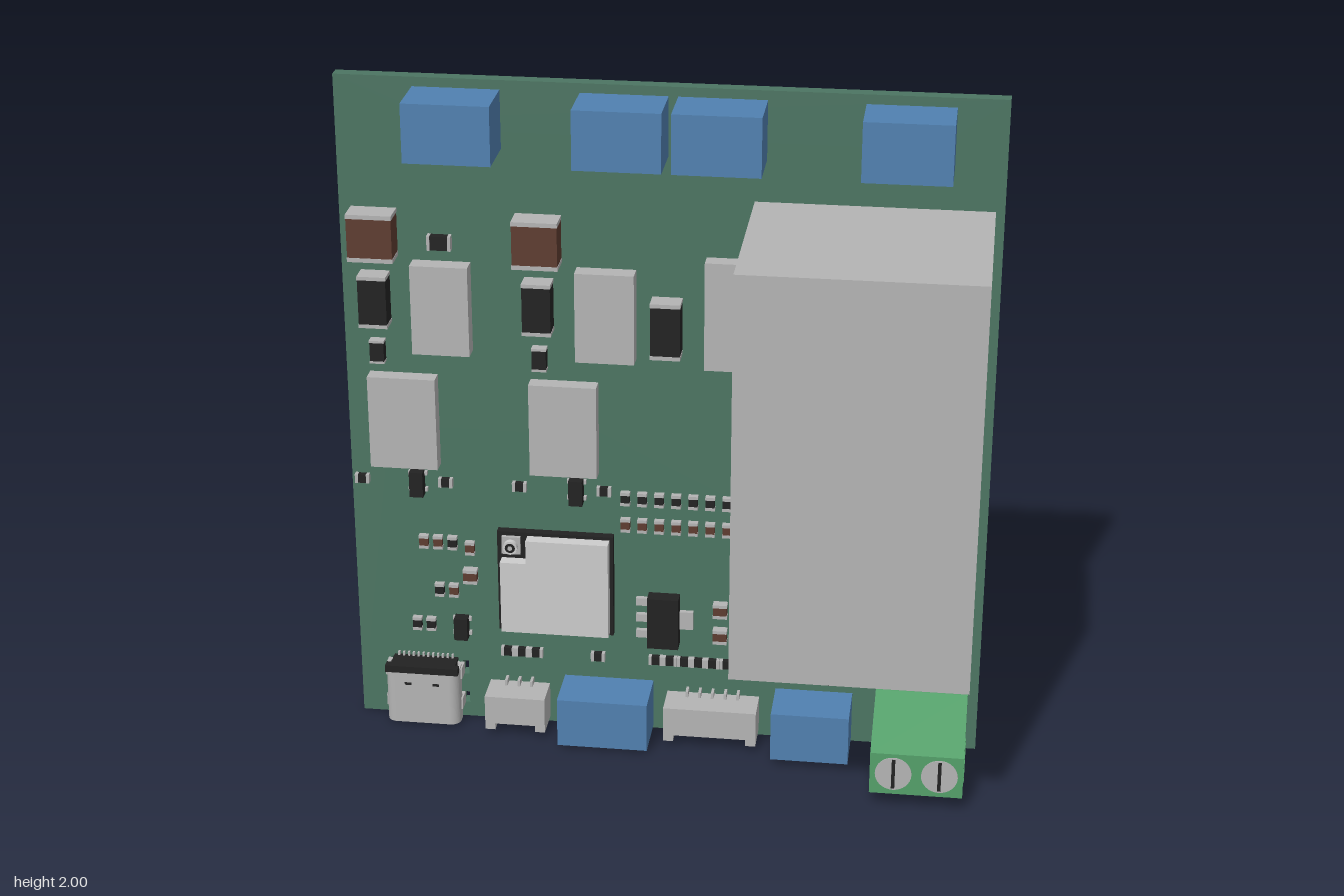
import * as THREE from 'three';

const mat = (name, color) => Object.assign(new THREE.MeshStandardMaterial({ color }), { name });
const M = {
  board: mat('boardGreen', 0x4c7562),
  blue: mat('connectorBlue', 0x5080b0),
  grey: mat('casingGrey', 0xb4b4b4),
  light: mat('shieldGrey', 0xcccccc),
  black: mat('componentBlack', 0x222222),
  brown: mat('ceramicBrown', 0x5e3c30),
  green: mat('terminalGreen', 0x54a06a),
  dark: mat('openingGreen', 0x2a5a3c),
};
const F = -0.238, B = -0.277; // front and back faces of the board

export function createModel() {
  const root = new THREE.Group();
  root.name = 'circuitBoard';

  const add = (name, geo, material, parent = root) => {
    const m = new THREE.Mesh(geo, material);
    m.name = name;
    parent.add(m);
    return m;
  };
  // box from its limits on each axis
  const box = (name, m, x0, x1, y0, y1, z0, z1, parent) => {
    const b = add(name, new THREE.BoxGeometry(x1 - x0, y1 - y0, z1 - z0), m, parent);
    b.position.set((x0 + x1) / 2, (y0 + y1) / 2, (z0 + z1) / 2);
    return b;
  };
  const group = (name) => {
    const g = new THREE.Group();
    g.name = name;
    root.add(g);
    return g;
  };
  // chip part with metal ends, along y unless horizontal
  const chip = (name, m, x, y, w, h, d, horizontal = false, cap = 0.22) => {
    const g = group(name), L = horizontal ? w : h, c = L * cap;
    const seg = (n, mm, a, b, t) => horizontal
      ? box(n, mm, x + a, x + b, y - h / 2 + t, y + h / 2 - t, F, F + d - t, g)
      : box(n, mm, x - w / 2 + t, x + w / 2 - t, y + a, y + b, F, F + d - t, g);
    seg('body', m, -L / 2 + c, L / 2 - c, 0.001);
    seg('endCap', M.grey, -L / 2, -L / 2 + c, 0);
    seg('endCap', M.grey, L / 2 - c, L / 2, 0);
  };
  // black package with small legs on its left and right
  const smallPackage = (name, x, y, w, h, d = 0.04) => {
    const g = group(name);
    box('body', M.black, x - w / 2, x + w / 2, y - h / 2, y + h / 2, F + 0.004, F + d, g);
    for (const k of [-0.33, 0.33])
      box('legs', M.grey, x - w / 2 - 0.008, x + w / 2 + 0.008, y + k * h - 0.006, y + k * h + 0.006, F, F + 0.012, g);
  };

  // board with drilled holes and slots
  const shape = new THREE.Shape([[-0.925, 0], [0.925, 0], [0.925, 2], [-0.925, 2]].map((p) => new THREE.Vector2(...p)));
  const drill = (x, y, r = 0.017) => {
    const p = new THREE.Path();
    p.absarc(x, y, r, 0, Math.PI * 2, true);
    shape.holes.push(p);
  };
  const slot = (x, y, w, h) => {
    const a = w / 2, b = h / 2;
    shape.holes.push(new THREE.Path([[-a, -b], [-a, b], [a, b], [a, -b]].map(([u, v]) => new THREE.Vector2(x + u, y + v))));
  };
  for (const x of [-0.57, -0.107, 0.163, 0.668]) for (const s of [-1, 1]) drill(x + s * 0.066, 1.87);
  for (const [x, y] of [[0.616, 1.58], [0.345, 1.58], [0.548, 0.583], [0.343, 0.583]]) drill(x, y);
  slot(-0.275, 0.963, 0.125, 0.022);
  slot(-0.745, 0.963, 0.125, 0.022);
  for (const s of [-1, 1]) {
    slot(-0.713 + s * 0.108, 0.167, 0.018, 0.045);
    slot(-0.713 + s * 0.108, 0.065, 0.018, 0.036);
    drill(-0.713 + s * 0.075, 0.165, 0.01);
  }
  const boardGeo = new THREE.ExtrudeGeometry(shape, { depth: F - B, bevelEnabled: false, curveSegments: 10 });
  add('board', boardGeo, M.board).position.z = B;

  // blue connector blocks
  for (const x of [-0.582, -0.117, 0.153, 0.662]) box('topConnector', M.blue, x - 0.122, x + 0.122, 1.804, 1.973, F, -0.08);
  box('bottomConnector', M.blue, -0.304, -0.037, 0.01, 0.162, F, -0.083);
  box('bottomConnector', M.blue, 0.328, 0.556, 0.01, 0.162, F, -0.083);

  // large power supply and flat grey casings
  box('powerModule', M.grey, 0.243, 0.9, 0.5, 1.683, F, 0.324);
  box('upperRelay', M.grey, -0.72, -0.555, 1.2, 1.467, F, -0.185);
  box('upperRelay', M.grey, -0.253, -0.085, 1.2, 1.467, F, -0.185);
  box('lowerRelay', M.grey, -0.857, -0.66, 0.838, 1.12, F, -0.19);
  box('lowerRelay', M.grey, -0.39, -0.195, 0.838, 1.12, F, -0.19);
  box('slimCasing', M.grey, 0.112, 0.2, 1.193, 1.514, F, -0.19);

  // larger capacitors, diodes and resistors
  for (const x of [-0.826, -0.36]) chip('ceramicCapacitor', M.brown, x, 1.549, 0.13, 0.14, 0.075, false, 0.09);
  for (const x of [-0.829, -0.361]) {
    chip('diode', M.black, x, 1.353, 0.083, 0.155, 0.06, false, 0.07);
    chip('resistor', M.black, x, 1.19, 0.043, 0.07, 0.03, false, 0.1);
  }
  chip('diode', M.black, 0.003, 1.306, 0.086, 0.168, 0.06, false, 0.07);
  chip('resistor', M.black, -0.64, 1.526, 0.068, 0.043, 0.025, true, 0.13);
  for (const x of [-0.728, -0.26]) smallPackage('driver', x, 0.782, 0.04, 0.078);
  smallPackage('transistor', -0.61, 0.313, 0.04, 0.07);
  smallPackage('transistor', 0.492, 0.242, 0.034, 0.075);
  const ic = group('smallChip');
  box('body', M.black, 0.773, 0.843, 0.416, 0.455, F, F + 0.03, ic);
  for (let i = 0; i < 3; i++) box('legs', M.grey, 0.783 + i * 0.02, 0.791 + i * 0.02, 0.408, 0.463, F, F + 0.01, ic);
  box('smallCasing', M.grey, 0.737, 0.787, 0.286, 0.332, F, F + 0.04);

  // tiny parts: [x, y] lists
  const tiny = (name, m, list, horizontal = false) => list.forEach(([x, y]) =>
    chip(name, m, x, y, horizontal ? 0.042 : 0.028, horizontal ? 0.028 : 0.042, 0.018, horizontal));
  for (let i = 0; i < 7; i++) {
    tiny('tinyResistor', M.black, [[-0.118 + i * 0.0495, 0.763]]);
    tiny('tinyCapacitor', M.brown, [[-0.118 + i * 0.0495, 0.678]]);
  }
  const row = (xs, y) => xs.map((x) => [x, y]);
  tiny('tinyResistor', M.black, row([-0.893, -0.646, -0.428, -0.18], 0.782), true);
  tiny('tinyResistor', M.black, row([-0.473, -0.431, -0.389, -0.202, -0.029, 0.013, 0.056, 0.098, 0.14, 0.183, 0.225, 0.4], 0.237), true);
  tiny('tinyResistor', M.black, row([-0.746, -0.704], 0.313));
  tiny('tinyResistor', M.black, row([0.65, 0.69, 0.733], 0.45));
  tiny('tinyResistor', M.black, [[0.873, 0.37], [0.866, 0.308]], true);
  tiny('tinyResistor', M.black, [[-0.632, 0.587], [-0.675, 0.43]]);
  tiny('tinyCapacitor', M.brown, [[-0.717, 0.587], [-0.675, 0.587], [-0.58, 0.573], [-0.632, 0.43], [0.871, 0.45]]);
  tiny('tinyCapacitor', M.brown, [[0.822, 0.362], [0.68, 0.308]], true);
  for (const [x, y] of [[-0.58, 0.484], [0.162, 0.419], [0.162, 0.334]]) chip('capacitor', M.brown, x, y, 0.042, 0.045, 0.028);

  // voltage regulator
  const reg = group('regulator');
  box('body', M.black, -0.05, 0.042, 0.297, 0.46, F + 0.004, F + 0.05, reg);
  box('tab', M.grey, 0.042, 0.082, 0.348, 0.405, F, F + 0.015, reg);
  for (const y of [0.325, 0.378, 0.431]) box('leg', M.grey, -0.087, -0.05, y - 0.012, y + 0.012, F, F + 0.015, reg);

  // radio module with notched shield and antenna socket
  const radio = group('radioModule');
  box('base', M.black, -0.495, -0.153, 0.32, 0.642, F, -0.212, radio);
  const shield = new THREE.Shape([[-0.482, 0.33], [-0.163, 0.33], [-0.163, 0.632], [-0.405, 0.632], [-0.405, 0.558], [-0.482, 0.558]]
    .map((p) => new THREE.Vector2(...p)));
  add('shield', new THREE.ExtrudeGeometry(shield, { depth: 0.037, bevelEnabled: false }), M.light, radio).position.z = -0.212;
  box('socketBase', M.grey, -0.48, -0.425, 0.575, 0.63, -0.212, -0.2, radio);
  for (const [r, d, m] of [[0.021, 0.026, M.light], [0.015, 0.0265, M.black], [0.007, 0.028, M.grey]]) {
    const c = add('antennaSocket', new THREE.CylinderGeometry(r, r, d, 20).rotateX(Math.PI / 2), m, radio);
    c.position.set(-0.4525, 0.602, -0.21 + d / 2);
  }

  // rounded charging port, open at the bottom edge
  const port = group('chargingPort');
  const pill = (P, w, h, r) => {
    const p = new P(), a = w / 2 - r, b = h / 2 - r;
    p.absarc(a, b, r, 0, Math.PI / 2);
    p.absarc(-a, b, r, Math.PI / 2, Math.PI);
    p.absarc(-a, -b, r, Math.PI, Math.PI * 1.5);
    p.absarc(a, -b, r, Math.PI * 1.5, Math.PI * 2);
    p.closePath();
    return p;
  };
  const shell = pill(THREE.Shape, 0.222, 0.078, 0.03);
  shell.holes.push(pill(THREE.Path, 0.206, 0.062, 0.024));
  const shellGeo = new THREE.ExtrudeGeometry(shell, { depth: 0.18, bevelEnabled: false, curveSegments: 8 }).rotateX(-Math.PI / 2);
  add('shell', shellGeo, M.grey, port).position.set(-0.725, 0.01, F + 0.04);
  box('tongue', M.black, -0.805, -0.645, 0.03, 0.17, F + 0.03, F + 0.048, port);
  box('back', M.black, -0.822, -0.628, 0.165, 0.198, F, F + 0.07, port);
  box('rearFlange', M.black, -0.835, -0.615, 0.178, 0.2, F + 0.055, F + 0.081, port);
  for (let i = 0; i < 12; i++) box('pin', M.grey, -0.81 + i * 0.0148, -0.804 + i * 0.0148, 0.195, 0.21, F, F + 0.01, port);
  for (const s of [-1, 1]) {
    box('latch', M.black, -0.725 + s * 0.042 - 0.01, -0.725 + s * 0.042 + 0.01, 0.138, 0.146, F + 0.075, F + 0.0805, port);
    for (const y of [0.065, 0.167])
      box('mountingTab', M.grey, -0.725 + s * 0.11 - 0.006, -0.725 + s * 0.11 + 0.006, y - 0.018, y + 0.018, F, F + 0.045, port);
  }

  // white plug sockets, hollow towards the bottom edge
  for (const [x0, x1, n] of [[-0.53, -0.35, 3], [0.005, 0.28, 5]]) {
    const g = group('plugSocket');
    box('backWall', M.grey, x0, x1, 0.095, 0.13, F, -0.132, g);
    box('floor', M.grey, x0, x1, 0.02, 0.095, F, F + 0.02, g);
    box('roof', M.grey, x0 + 0.03, x1 - 0.03, 0.04, 0.095, -0.152, -0.132, g);
    for (const [a, b] of [[x0, x0 + 0.03], [x1 - 0.03, x1]]) box('sideWall', M.grey, a, b, 0.02, 0.095, F, -0.132, g);
    for (let i = 0; i < n; i++) {
      const x = (x0 + x1) / 2 + (i - (n - 1) / 2) * 0.038;
      box('pin', M.grey, x - 0.004, x + 0.004, 0.04, 0.148, F + 0.024, F + 0.032, g);
      box('solderTail', M.grey, x - 0.004, x + 0.004, 0.13, 0.148, F, F + 0.03, g);
    }
  }

  // green screw terminal, profile in z and y
  const term = group('screwTerminal');
  const profile = new THREE.Shape([[F, 0.005], [-0.04, 0.012], [0.127, 0.05], [0.127, 0.18], [-0.106, 0.255], [F, 0.255]]
    .map((p) => new THREE.Vector2(...p)));
  const body = new THREE.ExtrudeGeometry(profile, { depth: 0.265, bevelEnabled: false }).rotateY(-Math.PI / 2);
  add('housing', body, M.green, term).position.x = 0.895;
  box('foot', M.green, 0.628, 0.897, 0, 0.034, F, -0.04, term);
  for (const x of [0.697, 0.828]) {
    const screw = add('screw', new THREE.CylinderGeometry(0.052, 0.052, 0.006, 32).rotateX(Math.PI / 2), M.grey, term);
    screw.position.set(x, 0.117, 0.127);
    box('screwSlot', M.black, x - 0.005, x + 0.005, 0.07, 0.164, 0.127, 0.131, term);
    const opening = add('wireOpening', new THREE.BoxGeometry(0.1, 0.004, 0.12), M.dark, term);
    opening.position.set(x, 0.0325, 0.05);
    opening.rotation.x = -Math.atan2(0.038, 0.167);
    box('solderPin', M.grey, x - 0.011, x + 0.011, 0.11, 0.132, -0.324, F, term);
  }
  return root;
}
